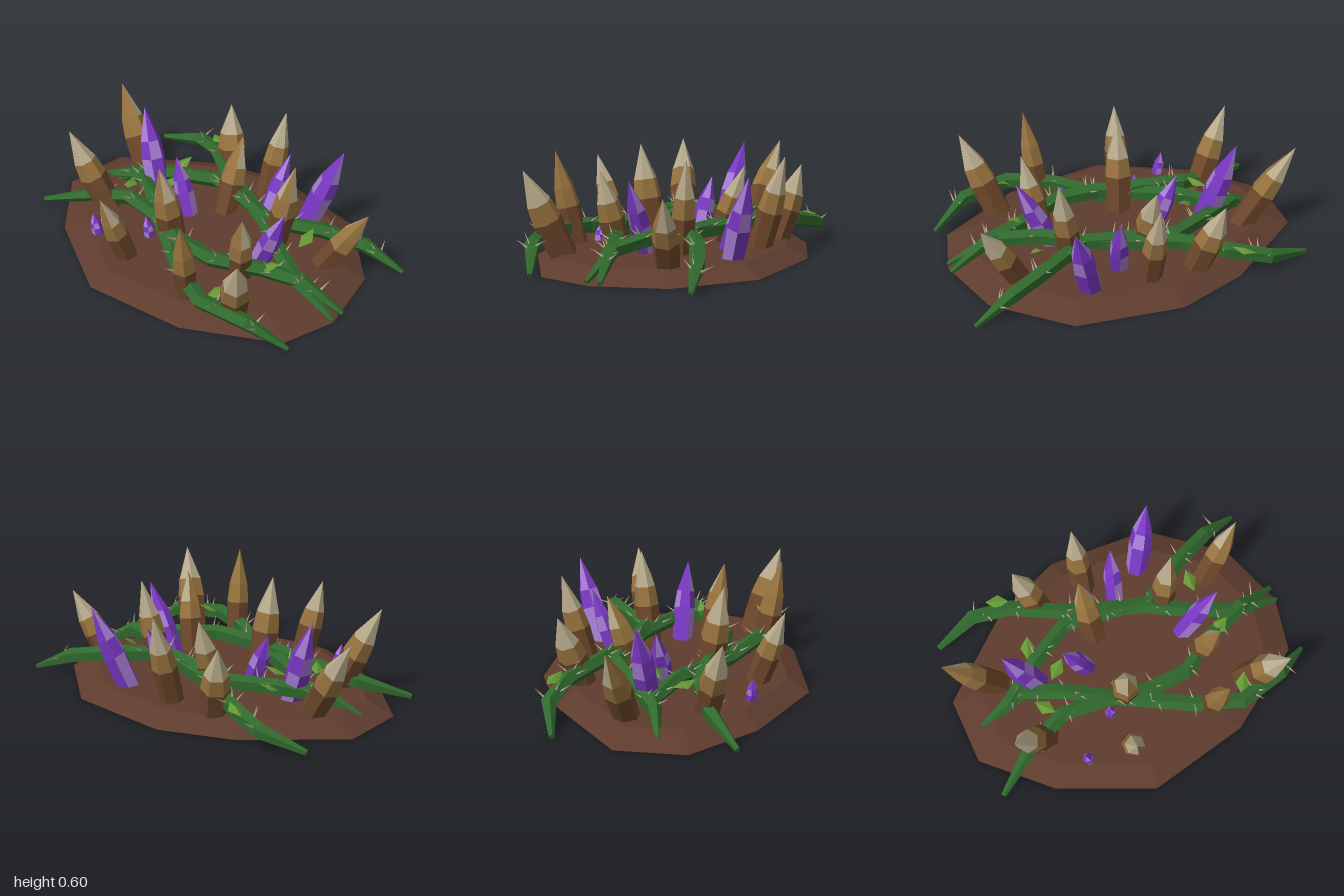
import * as THREE from 'three';

const V = (x, y, z) => new THREE.Vector3(x, y, z);
const mat = (name, color, side = THREE.FrontSide) =>
  Object.assign(new THREE.MeshStandardMaterial({ color, side, flatShading: true }), { name });

// Flat-faced skin through a list of equal loops; pick(row, facet) gives the material index
function loft(loops, pick = () => 0) {
  const buckets = [];
  const tri = (b, p, q, r) => {
    if (q.clone().sub(p).cross(r.clone().sub(p)).length() < 1e-8) return;
    for (const v of [p, q, r]) b.push(v.x, v.y, v.z);
  };
  for (let k = 0; k < loops.length - 1; k++) {
    const lo = loops[k], hi = loops[k + 1], n = lo.length;
    for (let i = 0; i < n; i++) {
      const j = (i + 1) % n, m = pick(k, i);
      const b = (buckets[m] ??= []);
      tri(b, lo[i], hi[i], hi[j]);
      tri(b, lo[i], hi[j], lo[j]);
    }
  }
  const g = new THREE.BufferGeometry(), all = [];
  buckets.forEach((b, m) => {
    g.addGroup(all.length / 3, b.length / 3, m);
    for (const v of b) all.push(v);
  });
  g.setAttribute('position', new THREE.Float32BufferAttribute(all, 3));
  g.computeVertexNormals();
  return g;
}

export function createModel() {
  const root = new THREE.Group();
  root.name = 'crystalThicket';
  const soil = mat('soil brown', 0x5e3c2e, THREE.DoubleSide);
  const rock = [mat('rock brown', 0x6e482b), mat('rock tan', 0x98733f), mat('rock pale', 0xb8ab8c)];
  const gem = [mat('violet', 0x7a38c4), mat('lavender', 0xa67cd4)];
  const vineMat = mat('vine green', 0x30692d);
  const leafMat = mat('leaf green', 0x639634, THREE.DoubleSide);
  const thornMat = mat('thorn beige', 0xb5a58c);

  let seed = 7;
  const rand = () => (seed = (seed * 16807) % 2147483647) / 2147483647;
  const add = (name, geo, material, parent = root) => {
    const m = new THREE.Mesh(geo, material);
    m.name = name;
    parent.add(m);
    return m;
  };

  // Soil mound: an irregular slab, hollow beneath
  const outline = [[0.99, 0], [0.92, 0.32], [0.45, 0.635], [-0.14, 0.76], [-0.665, 0.52], [-1, 0.19],
    [-1, -0.2], [-0.53, -0.595], [-0.13, -0.76], [0.47, -0.725], [0.86, -0.4]];
  const slab = (s, y) => outline.map(([x, z]) => V(x * s, y, z * s));
  add('soilMound', loft([slab(1, 0), slab(0.84, 0.065), slab(0, 0.07)]), soil);

  // Crystals: a blunt root under the soil, a hexagonal shaft, then a long point
  function crystal(name, base, tip, r, mats, pick) {
    const from = V(base[0], 0.035, base[1]), axis = V(...tip).sub(from);
    const turn = new THREE.Quaternion().setFromUnitVectors(V(0, 1, 0), axis.clone().normalize());
    const spin = rand() * 1.05;
    const ring = (t, s) => Array.from({ length: 6 }, (_, i) => {
      const a = spin + (i * Math.PI) / 3;
      return V(Math.cos(a) * r * s, 0, Math.sin(a) * r * s).applyQuaternion(turn)
        .add(from).addScaledVector(axis, t);
    });
    // The root is cut level just above the ground
    const foot = (s) => ring(0, s).map((p) => V(p.x, 0.004, p.z));
    add(name, loft([foot(0), foot(0.65), ring(0.02, 0.95), ring(0.43, 1.03), ring(0.63, 0.86), ring(1, 0)], pick), mats);
  }

  // Rock spikes: base x z, tip x y z, radius, number of tan facets on the pale point
  const spikes = [
    [-0.7, -0.17, -0.995, 0.53, -0.23, 0.075, 3], [-0.58, 0.23, -0.8, 0.53, 0.34, 0.078, 0],
    [-0.3, -0.49, -0.42, 0.48, -0.6, 0.08, 0], [-0.025, -0.51, -0.025, 0.58, -0.66, 0.068, 0],
    [-0.085, -0.22, -0.105, 0.5, -0.385, 0.075, 2], [0.33, -0.21, 0.415, 0.595, -0.275, 0.07, 1],
    [0.64, -0.28, 0.875, 0.46, -0.37, 0.072, 2], [0.4, 0.13, 0.49, 0.515, 0.21, 0.07, 3],
    [-0.08, 0.18, -0.1, 0.585, 0.27, 0.08, 1], [-0.165, 0.46, -0.2, 0.49, 0.615, 0.067, 1],
    [0.32, 0.45, 0.378, 0.585, 0.555, 0.066, 6], [0.59, 0.37, 0.77, 0.53, 0.52, 0.082, 0]];
  spikes.forEach(([bx, bz, x, y, z, r, tan]) => crystal('rockSpike', [bx, bz], [x, y, z], r, rock,
    (row, i) => [1, 1, 0, 1, i < tan ? 1 : 2][row]));

  // Violet crystals, with some paler facets
  const gems = [
    [-0.5, -0.08, -0.675, 0.55, -0.13, 0.07], [-0.2, -0.05, -0.34, 0.385, -0.075, 0.055],
    [0.38, -0.03, 0.585, 0.485, -0.02, 0.06], [0.11, -0.37, 0.15, 0.44, -0.52, 0.055],
    [0.31, -0.5, 0.44, 0.53, -0.65, 0.068], [-0.42, 0.46, -0.45, 0.2, 0.47, 0.033],
    [-0.2, 0.26, -0.21, 0.21, 0.28, 0.033], [0.22, 0.36, 0.2, 0.17, 0.38, 0.033]];
  gems.forEach(([bx, bz, x, y, z, r], n) => crystal('violetCrystal', [bx, bz], [x, y, z], r, gem,
    (row, i) => (row < 2 || (i + n + (row === 3 ? 1 : 0)) % 3 === 0 ? 1 : 0)));

  // Thorny vines: five-sided stems through kinked paths, narrow at both ends
  const paths = [
    [[-0.95, 0.03, -0.53], [-0.7, 0.1, -0.6], [-0.48, 0.15, -0.54], [-0.24, 0.17, -0.4], [0, 0.16, -0.31],
      [0.25, 0.16, -0.22], [0.47, 0.16, -0.09], [0.72, 0.13, 0.01], [0.99, 0.02, 0.01]],
    [[-0.9, 0.03, 0.02], [-0.7, 0.11, -0.03], [-0.48, 0.15, -0.18], [-0.24, 0.16, -0.31], [0.02, 0.17, -0.28],
      [0.27, 0.17, -0.23], [0.53, 0.16, -0.4], [0.76, 0.12, -0.51], [0.98, 0.02, -0.58]],
    [[-0.95, 0.02, 0.44], [-0.7, 0.1, 0.27], [-0.47, 0.16, 0.18], [-0.22, 0.17, 0.2], [0.03, 0.16, 0.25],
      [0.28, 0.16, 0.24], [0.53, 0.15, 0.09], [0.75, 0.14, 0], [0.99, 0.02, -0.07]],
    [[-0.84, 0.03, 0.02], [-0.62, 0.12, -0.05], [-0.4, 0.16, 0.06], [-0.18, 0.14, 0.19], [0.02, 0.11, 0.29],
      [0.24, 0.15, 0.43], [0.5, 0.16, 0.53], [0.78, 0.14, 0.46], [0.985, 0.02, 0.35]]];
  const widths = [0.016, 0.044, 0.047, 0.047, 0.047, 0.047, 0.047, 0.045, 0.013];
  for (const path of paths) {
    const vine = new THREE.Group();
    vine.name = 'vine';
    root.add(vine);
    const pts = path.map((p) => V(...p));
    const loops = pts.map((p, k) => {
      const t = pts[Math.min(k + 1, 8)].clone().sub(pts[Math.max(k - 1, 0)]).normalize();
      const side = V(0, 1, 0).cross(t).normalize(), up = t.clone().cross(side);
      return Array.from({ length: 5 }, (_, i) => {
        const a = -1.85 + (i * Math.PI * 2) / 5;
        return p.clone().addScaledVector(side, Math.cos(a) * widths[k]).addScaledVector(up, -Math.sin(a) * widths[k]);
      });
    });
    const end = (p) => Array(5).fill(p);
    add('vineStem', loft([end(pts[0]), ...loops, end(pts[8])]), vineMat, vine);
    // Thorns splayed to both sides of the kinks
    for (let k = 1; k < 8; k++) {
      for (const s of [-1, 0.3, 1]) {
        const dir = V((rand() - 0.5) * 0.9, 0.5 + rand() * 0.3, s).normalize();
        const thorn = add('thorn', new THREE.ConeGeometry(0.007, 0.08, 4), thornMat, vine);
        thorn.position.copy(pts[k]).lerp(pts[k + 1], rand() * 0.4).addScaledVector(dir, 0.07);
        thorn.quaternion.setFromUnitVectors(V(0, 1, 0), dir);
      }
    }
  }

  // Leaves: diamonds raised along the midrib; x, y, z and turn
  const leafPoints = [V(-0.07, 0, 0), V(0, -0.012, 0.042), V(0.07, 0, 0), V(0, -0.012, -0.042), V(0, 0.01, 0)];
  const leafGeo = new THREE.BufferGeometry().setFromPoints(
    [0, 1, 4, 1, 2, 4, 2, 3, 4, 3, 0, 4].map((i) => leafPoints[i]));
  leafGeo.computeVertexNormals();
  const leaves = [[-0.49, 0.18, -0.26, 1.2], [-0.39, 0.19, -0.07, 0.7], [-0.54, 0.19, 0.11, -0.9],
    [-0.54, 0.18, -0.6, -0.4], [0.54, 0.19, -0.25, 1.6], [0.57, 0.19, 0.08, 0.5], [0.54, 0.2, 0.45, 1.1]];
  for (const [x, y, z, turn] of leaves) {
    const leaf = add('leaf', leafGeo, leafMat);
    leaf.position.set(x, y, z);
    leaf.rotation.set(0.2, turn, 0.3);
  }
  return root;
}
